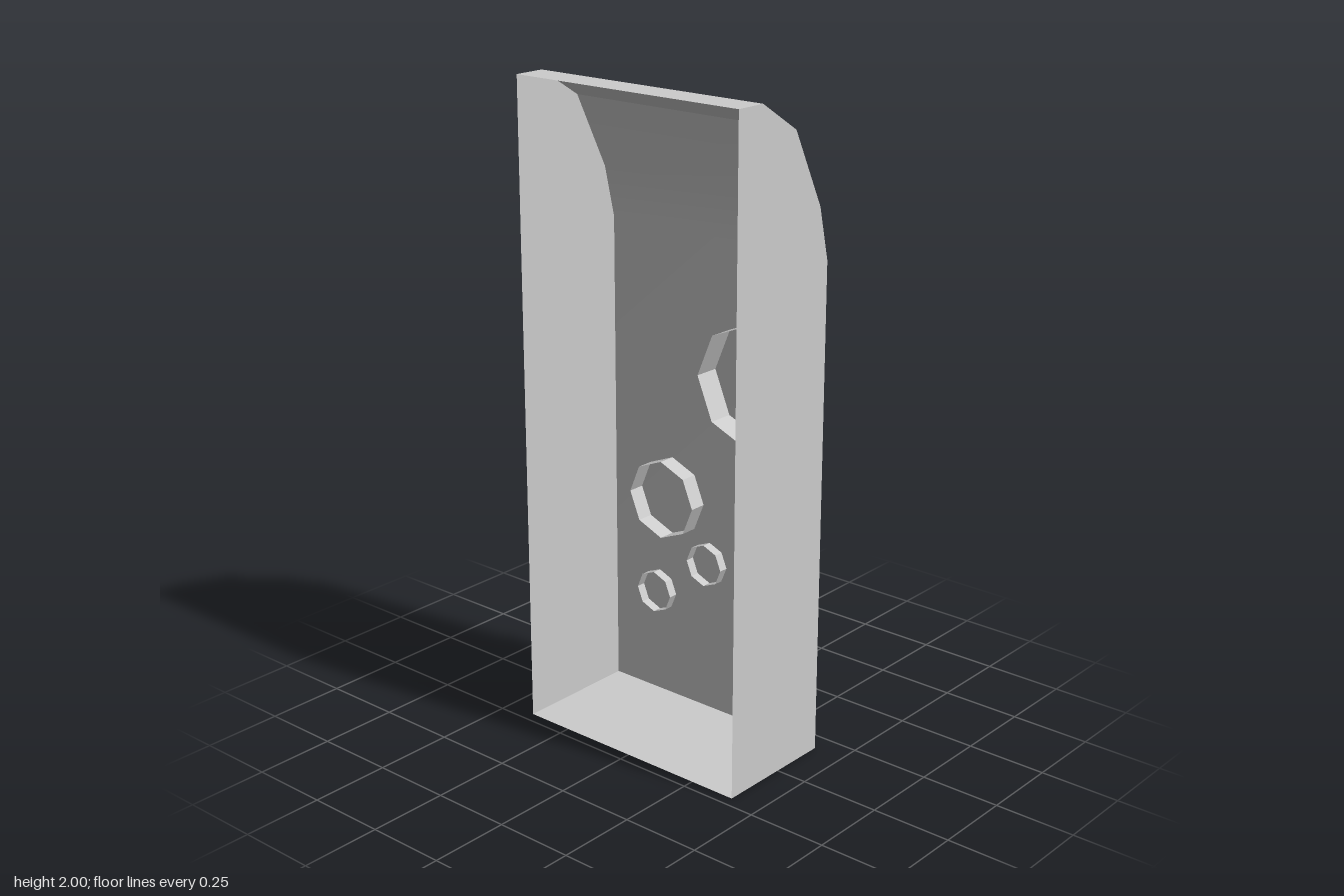
import * as THREE from 'three';
import { toCreasedNormals } from 'three/addons/utils/BufferGeometryUtils.js';

const HALF_WIDTH = 0.4;
const BACK_Z = -0.183;

// Side outline as [z, y], from the bottom front round the back to the top front
const OUTLINE = [
  [0.215, 0], [BACK_Z, 0], [BACK_Z, 1.52], [-0.145, 1.68],
  [-0.03, 1.91], [0.115, 2], [0.215, 2],
];

const material = new THREE.MeshStandardMaterial({ color: 0xcccccc, side: THREE.DoubleSide });

function addMesh(parent, name, geometry) {
  const mesh = new THREE.Mesh(geometry, material);
  mesh.name = name;
  parent.add(mesh);
  return mesh;
}

// Bottom, back and top as one strip, open at the front
function wrapGeometry() {
  const positions = [];
  const index = [];
  OUTLINE.forEach(([z, y], i) => {
    positions.push(HALF_WIDTH, y, z, -HALF_WIDTH, y, z);
    if (i > 0) {
      const a = 2 * (i - 1);
      index.push(a, a + 1, a + 2, a + 1, a + 3, a + 2);
    }
  });
  const geometry = new THREE.BufferGeometry();
  geometry.setAttribute('position', new THREE.Float32BufferAttribute(positions, 3));
  geometry.setIndex(index);
  return toCreasedNormals(geometry, 0.5);
}

// Eight-sided disc: open tube behind the panel, bevelled rim, recess and centre dome
function discGeometry(radius, height) {
  const profile = [
    [1, -0.44 - height / radius], [1, -0.11], [0.87, 0], [0.76, 0],
    [0.7, -0.06], [0.62, -0.06], [0.56, -0.13],
    [0.38, -0.13], [0.34, -0.08], [0.2, -0.03], [0, -0.01],
  ];
  // the tube's rear end is measured from the panel, the rest from the rim
  const points = profile.map(([r, y]) => new THREE.Vector2(r * radius, height + y * radius));
  points[0].y = -0.44 * radius;
  const geometry = new THREE.LatheGeometry(points, 8);
  geometry.rotateX(-Math.PI / 2);
  return toCreasedNormals(geometry, 0.5);
}

export function createModel() {
  const model = new THREE.Group();
  model.name = 'openCasing';

  addMesh(model, 'casingWrap', wrapGeometry());

  // Mirrored side walls
  const shape = new THREE.Shape(OUTLINE.map(([z, y]) => new THREE.Vector2(-z, y)));
  for (const side of [1, -1]) {
    const wall = new THREE.ShapeGeometry(shape);
    wall.rotateY(Math.PI / 2);
    wall.translate(HALF_WIDTH, 0, 0);
    addMesh(model, side > 0 ? 'leftWall' : 'rightWall', wall).scale.x = side;
  }

  // Discs set through the back panel: name, x, y, radius, height
  const discs = [
    ['largeDisc', 0.187, 1.12, 0.187, 0.032],
    ['mediumDisc', -0.168, 0.675, 0.125, 0.03],
    ['upperSmallDisc', -0.018, 0.49, 0.067, 0.028],
    ['lowerSmallDisc', -0.22, 0.345, 0.067, 0.028],
  ];
  for (const [name, x, y, radius, height] of discs) {
    addMesh(model, name, discGeometry(radius, height)).position.set(x, y, BACK_Z);
  }
  return model;
}
